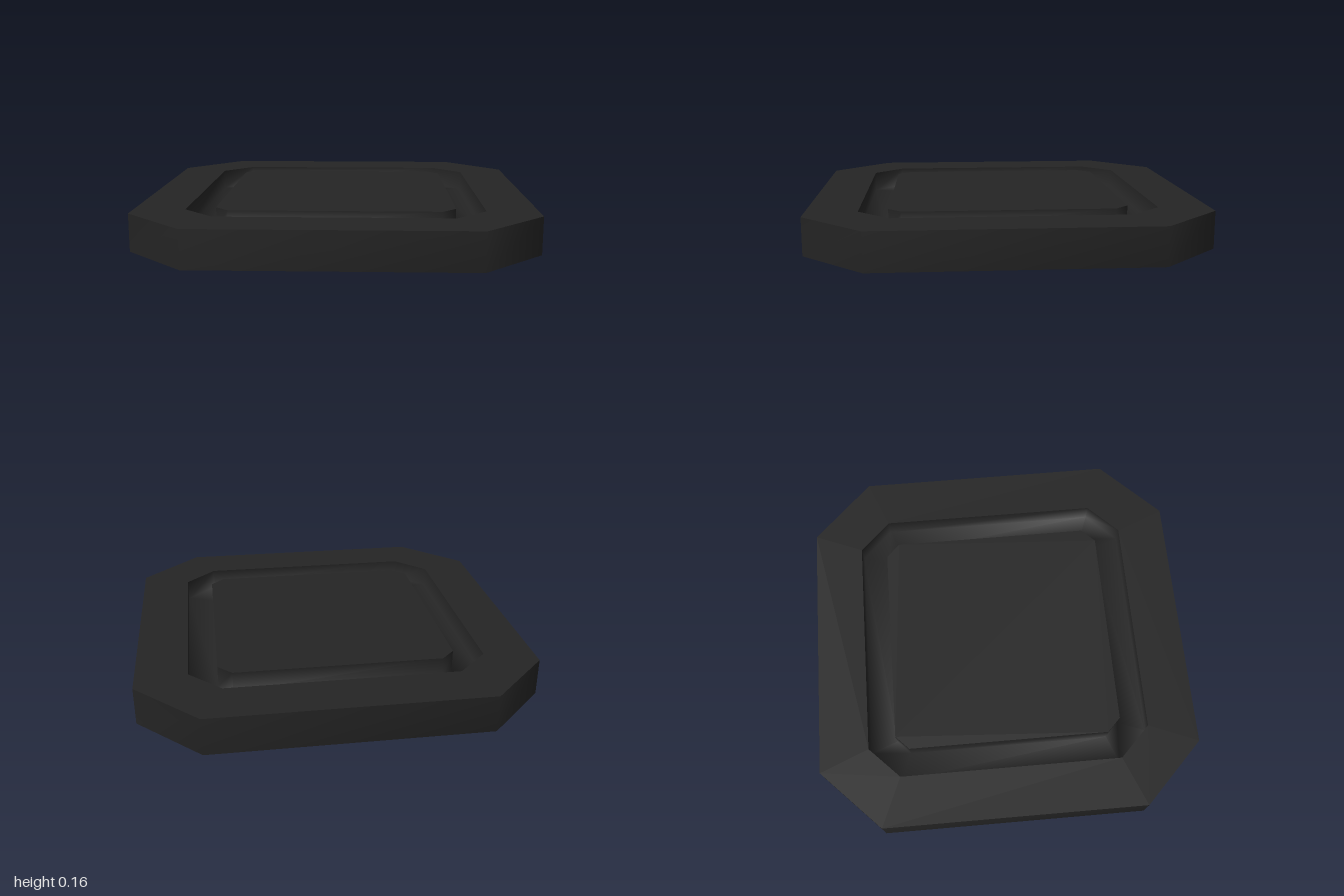
import * as THREE from 'three';

const HEIGHT = 0.16, FLOOR = 0.07;

// Square turned on its corner, with clipped tips: reach r, half tip width t
function ring(r, t, y) {
  const points = [];
  for (let i = 0; i < 4; i++) {
    const a = (i * Math.PI) / 2, c = Math.cos(a), s = Math.sin(a);
    for (const w of [-t, t]) points.push([r * c - w * s, y, -(r * s + w * c)]);
  }
  return points;
}

// Skin between successive rings, with smooth shared normals
function loft(rings) {
  const n = rings[0].length, index = [];
  for (let i = 0; i < rings.length - 1; i++) {
    for (let j = 0; j < n; j++) {
      const a = i * n + j, b = i * n + ((j + 1) % n);
      index.push(a, b, b + n, a, b + n, a + n);
    }
  }
  const geometry = new THREE.BufferGeometry();
  geometry.setAttribute('position', new THREE.Float32BufferAttribute(rings.flat(2), 3));
  geometry.setIndex(index);
  geometry.computeVertexNormals();
  return geometry;
}

export function createModel() {
  const group = new THREE.Group();
  group.name = 'clippedSquarePlate';
  const material = new THREE.MeshStandardMaterial({ color: 0x252525, side: THREE.DoubleSide });

  const add = (name, geometry) => {
    const mesh = new THREE.Mesh(geometry, material);
    mesh.name = name;
    group.add(mesh);
  };

  const outerTop = ring(1, 0.185, HEIGHT);
  const grooveOuter = ring(0.785, 0.095, HEIGHT);
  const panelEdge = ring(0.668, 0.042, HEIGHT);

  // Outer wall, open underneath
  add('outerWall', loft([ring(1, 0.185, 0), outerTop]));
  // Flat border
  add('rim', loft([outerTop, grooveOuter]));
  // Channel around the panel
  add('groove', loft([grooveOuter, ring(0.785, 0.095, FLOOR), ring(0.668, 0.042, FLOOR), panelEdge]));
  // Centre panel, level with the rim
  const outline = panelEdge.map(([x, , z]) => new THREE.Vector2(x, -z));
  const panel = new THREE.ShapeGeometry(new THREE.Shape(outline));
  panel.rotateX(-Math.PI / 2).translate(0, HEIGHT, 0);
  add('centrePanel', panel);

  return group;
}
